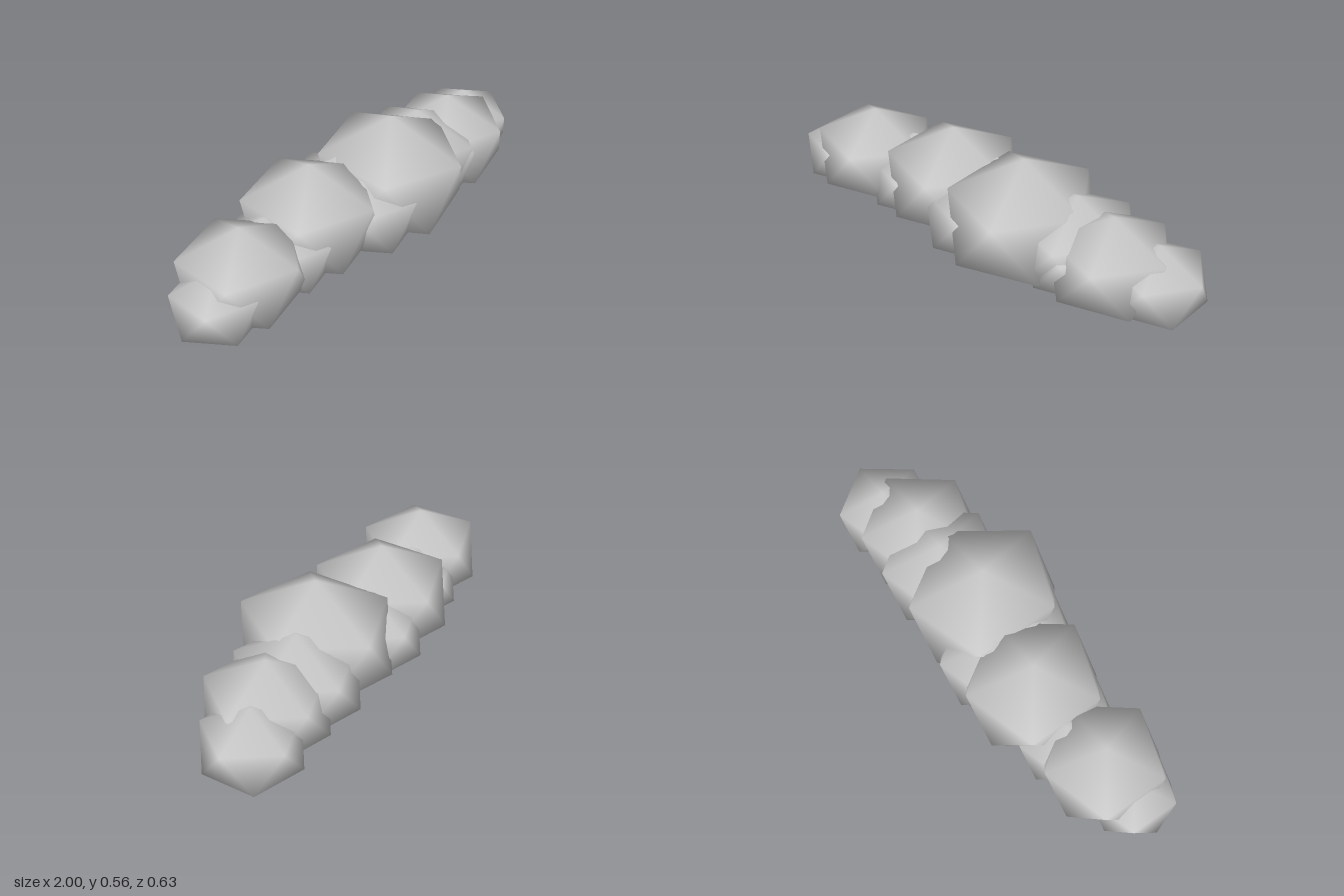
import * as THREE from 'three';

// Smooth-shaded unit icosahedron with a corner straight up and one pointing to +x
function icoBall() {
  const pos = [0, 1, 0];
  const h = 1 / Math.sqrt(5), r = 2 * h;
  for (const [y, turn] of [[h, 0], [-h, Math.PI / 5]]) {
    for (let i = 0; i < 5; i++) {
      const a = (i * 2 * Math.PI) / 5 + turn;
      pos.push(r * Math.cos(a), y, r * Math.sin(a));
    }
  }
  pos.push(0, -1, 0);
  const index = [];
  for (let i = 0; i < 5; i++) {
    const j = (i + 1) % 5;
    const u0 = 1 + i, u1 = 1 + j, l0 = 6 + i, l1 = 6 + j;
    index.push(0, u1, u0, u0, u1, l0, l0, u1, l1, 11, l0, l1);
  }
  const g = new THREE.BufferGeometry();
  g.setAttribute('position', new THREE.Float32BufferAttribute(pos, 3));
  g.setIndex(index);
  g.computeVertexNormals();
  return g;
}

export function createModel() {
  const group = new THREE.Group();
  group.name = 'cloud';
  const geometry = icoBall();
  const material = new THREE.MeshStandardMaterial({ color: 0xcccccc });

  // name, centre, radii
  const puffs = [
    ['rightEndPuff', [-0.815, 0.19, 0.035], [0.207, 0.16, 0.2]],
    ['rightPuff', [-0.66, 0.235, 0.005], [0.29, 0.216, 0.276]],
    ['rightBackFillPuff', [-0.48, 0.199, -0.053], [0.22, 0.172, 0.22]],
    ['rightFrontFillPuff', [-0.415, 0.199, 0.003], [0.22, 0.172, 0.22]],
    ['rightMiddlePuff', [-0.235, 0.258, -0.043], [0.318, 0.248, 0.315]],
    ['middleBackFillPuff', [-0.03, 0.217, -0.095], [0.26, 0.198, 0.257]],
    ['middleFrontFillPuff', [0, 0.217, 0.045], [0.26, 0.198, 0.257]],
    ['largePuff', [0.195, 0.278, 0.008], [0.335, 0.278, 0.357]],
    ['leftBackFillPuff', [0.425, 0.236, -0.048], [0.29, 0.22, 0.287]],
    ['leftFrontFillPuff', [0.47, 0.208, -0.012], [0.235, 0.183, 0.235]],
    ['leftPuff', [0.615, 0.232, -0.036], [0.285, 0.218, 0.28]],
    ['leftEndPuff', [0.8, 0.196, -0.093], [0.224, 0.176, 0.225]],
  ];
  for (const [name, centre, radii] of puffs) {
    const puff = new THREE.Mesh(geometry, material);
    puff.name = name;
    puff.position.set(...centre);
    puff.scale.set(...radii);
    group.add(puff);
  }
  return group;
}
